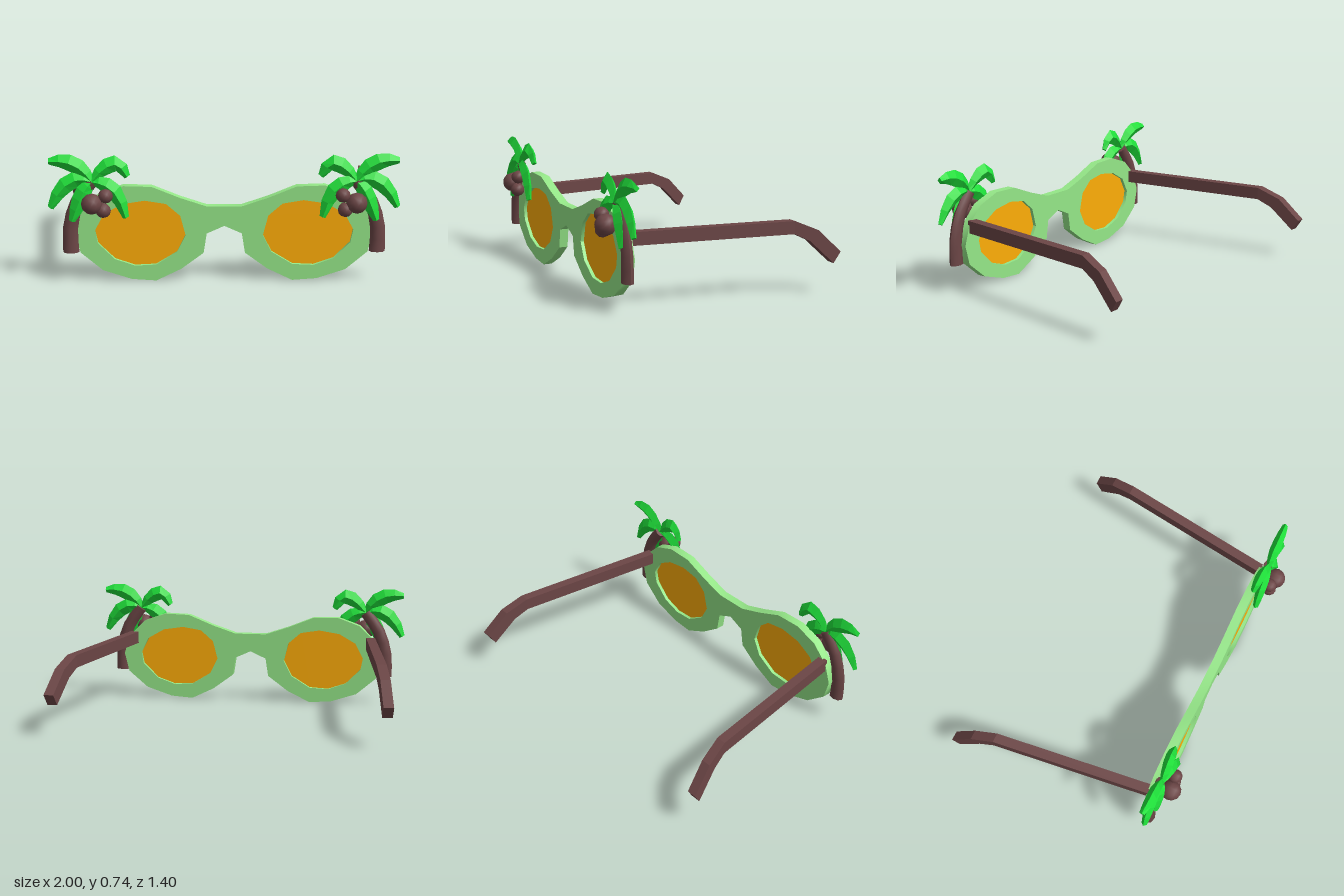
import * as THREE from 'three';
import { toCreasedNormals } from 'three/addons/utils/BufferGeometryUtils.js';

const V = (x, y, z) => new THREE.Vector3(x, y, z);

// Skin a list of equal-sized rings (arrays of Vector3) and cap both ends.
function loft(rings, flip = false) {
  const n = rings[0].length, pos = [], idx = [];
  const tri = (a, b, c) => idx.push(a, ...(flip ? [c, b] : [b, c]));
  rings.forEach((r) => r.forEach((p) => pos.push(p.x, p.y, p.z)));
  for (let i = 0; i < rings.length - 1; i++) {
    for (let j = 0; j < n; j++) {
      const a = i * n + j, b = i * n + (j + 1) % n;
      tri(a, b, b + n);
      tri(a, b + n, a + n);
    }
  }
  const last = (rings.length - 1) * n;
  for (let j = 1; j < n - 1; j++) {
    tri(0, j + 1, j);
    tri(last, last + j, last + j + 1);
  }
  const g = new THREE.BufferGeometry();
  g.setAttribute('position', new THREE.Float32BufferAttribute(pos, 3));
  g.setIndex(idx);
  return g;
}

// Sweep an elliptical section along a curve, keeping its depth along z.
function sweep(points, steps, sides, halfWidth, halfDepth) {
  const curve = new THREE.CatmullRomCurve3(points);
  const rings = [];
  for (let i = 0; i <= steps; i++) {
    const t = i / steps, c = curve.getPoint(t), d = curve.getTangent(t);
    const across = V(-d.y, d.x, 0).normalize();
    const ring = [];
    for (let j = 0; j < sides; j++) {
      const a = (j / sides) * Math.PI * 2;
      const p = c.clone().addScaledVector(across, Math.cos(a) * halfWidth(t));
      p.z += Math.sin(a) * halfDepth(t);
      ring.push(p);
    }
    rings.push(ring);
  }
  return loft(rings);
}

// Half outline of the frame, from top centre round to the nose
const OUTLINE = [[0.1, 0.44], [0.25, 0.49], [0.41, 0.555], [0.57, 0.56], [0.71, 0.51], [0.81, 0.41],
  [0.85, 0.29], [0.82, 0.17], [0.695, 0.064], [0.53, 0.01], [0.39, 0], [0.246, 0.07], [0.118, 0.165], [0.1, 0.28]];
const LENS = [[0.22, 0.27], [0.25, 0.385], [0.33, 0.455], [0.45, 0.475], [0.58, 0.455], [0.685, 0.395],
  [0.735, 0.3], [0.72, 0.225], [0.625, 0.13], [0.51, 0.09], [0.39, 0.096], [0.27, 0.17]];
// Frond paths from near the crown to the tip
const FRONDS = [
  [[0.67, 0.67, 0.575], [0.6, 0.69, 0.57], [0.545, 0.615, 0.565]],
  [[0.8, 0.66, 0.575], [0.89, 0.705, 0.575], [0.985, 0.705, 0.57]],
  [[0.82, 0.605, 0.575], [0.91, 0.555, 0.58], [0.98, 0.44, 0.585]],
  [[0.78, 0.55, 0.59], [0.82, 0.47, 0.595], [0.86, 0.365, 0.6]],
  [[0.68, 0.58, 0.59], [0.605, 0.52, 0.595], [0.555, 0.385, 0.6]],
];
const COCONUTS = [[0.742, 0.475, 0.64, 0.061], [0.665, 0.518, 0.63, 0.042], [0.68, 0.435, 0.63, 0.043]];
// Temple stations: top y z, bottom y z; the arm splays outwards towards the ear
const TEMPLE = [[0.435, 0.53, 0.36, 0.53], [0.435, -0.43, 0.36, -0.43],
  [0.375, -0.57, 0.315, -0.52], [0.245, -0.7, 0.18, -0.66]];
const templeX = (z) => 0.91 - (z + 0.43) * (z > -0.43 ? 0.135 : 0.22);

export function createModel() {
  const model = new THREE.Group();
  model.name = 'palmSunglasses';
  const smooth = (color) => new THREE.MeshStandardMaterial({ color });
  const flat = (color) => new THREE.MeshStandardMaterial({ color, flatShading: true });
  const green = smooth(0x95e788), amber = smooth(0xfead08), leaf = flat(0x1fe03a);
  const wood = flat(0x6c4646), bark = smooth(0x6c4646);
  const add = (parent, name, geometry, material) => {
    const m = new THREE.Mesh(geometry, material);
    m.name = name;
    parent.add(m);
    return m;
  };
  const toShape = (pts, s, Type) => new Type(pts.map(([x, y]) => new THREE.Vector2(s * x, y)));

  // Frame with two lens openings, holes wound opposite to the outline
  const mirrored = OUTLINE.map(([x, y]) => [-x, y]).reverse();
  const outline = [[0, 0.44], ...OUTLINE, [0, 0.325], ...mirrored].reverse();
  const shape = toShape(outline, 1, THREE.Shape);
  shape.holes.push(toShape(LENS, 1, THREE.Path), toShape([...LENS].reverse(), -1, THREE.Path));
  const frame = new THREE.ExtrudeGeometry(shape, { depth: 0.053, bevelEnabled: false });
  add(model, 'frame', toCreasedNormals(frame.translate(0, 0, 0.517), 0.7), green);

  for (const s of [1, -1]) {
    const side = s > 0 ? 'left' : 'right';
    const at = ([x, y, z]) => V(s * x, y, z);

    // Lens
    const lens = new THREE.ExtrudeGeometry(toShape(LENS, s, THREE.Shape), { depth: 0.012, bevelEnabled: false });
    add(model, side + 'Lens', lens.translate(0, 0, 0.538), amber);

    // Temple arm with the bent ear hook
    const rings = TEMPLE.map(([ty, tz, by, bz]) => [
      at([templeX(bz) - 0.029, by, bz]), at([templeX(bz) + 0.029, by, bz]),
      at([templeX(tz) + 0.029, ty, tz]), at([templeX(tz) - 0.029, ty, tz]),
    ]);
    add(model, side + 'Temple', loft(rings, s > 0), wood);

    // Palm tree: trunk, fronds and coconuts
    const palm = new THREE.Group();
    palm.name = side + 'Palm';
    model.add(palm);
    const trunkPath = [[0.872, 0.175, 0.573], [0.872, 0.32, 0.573], [0.83, 0.47, 0.573], [0.745, 0.59, 0.573]];
    const trunk = sweep(trunkPath.map(at), 6, 8, (t) => 0.046 - 0.01 * t, (t) => 0.033 - 0.006 * t);
    add(palm, 'trunk', toCreasedNormals(trunk, 0.9), bark);

    const swell = (t) => Math.sin(Math.PI * (0.06 + t * 0.86));
    for (const path of FRONDS) {
      const pts = [[0.745, 0.59, 0.582], ...path].map(at);
      const frond = sweep(pts, 5, 4, (t) => 0.008 + 0.04 * swell(t), (t) => 0.012 + 0.018 * swell(t));
      add(palm, 'frond', frond, leaf);
    }
    for (const [x, y, z, r] of COCONUTS) {
      const nut = new THREE.SphereGeometry(r, 12, 6).rotateX(Math.PI / 2);
      add(palm, 'coconut', nut, bark).position.set(s * x, y, z);
    }
  }
  return model;
}
